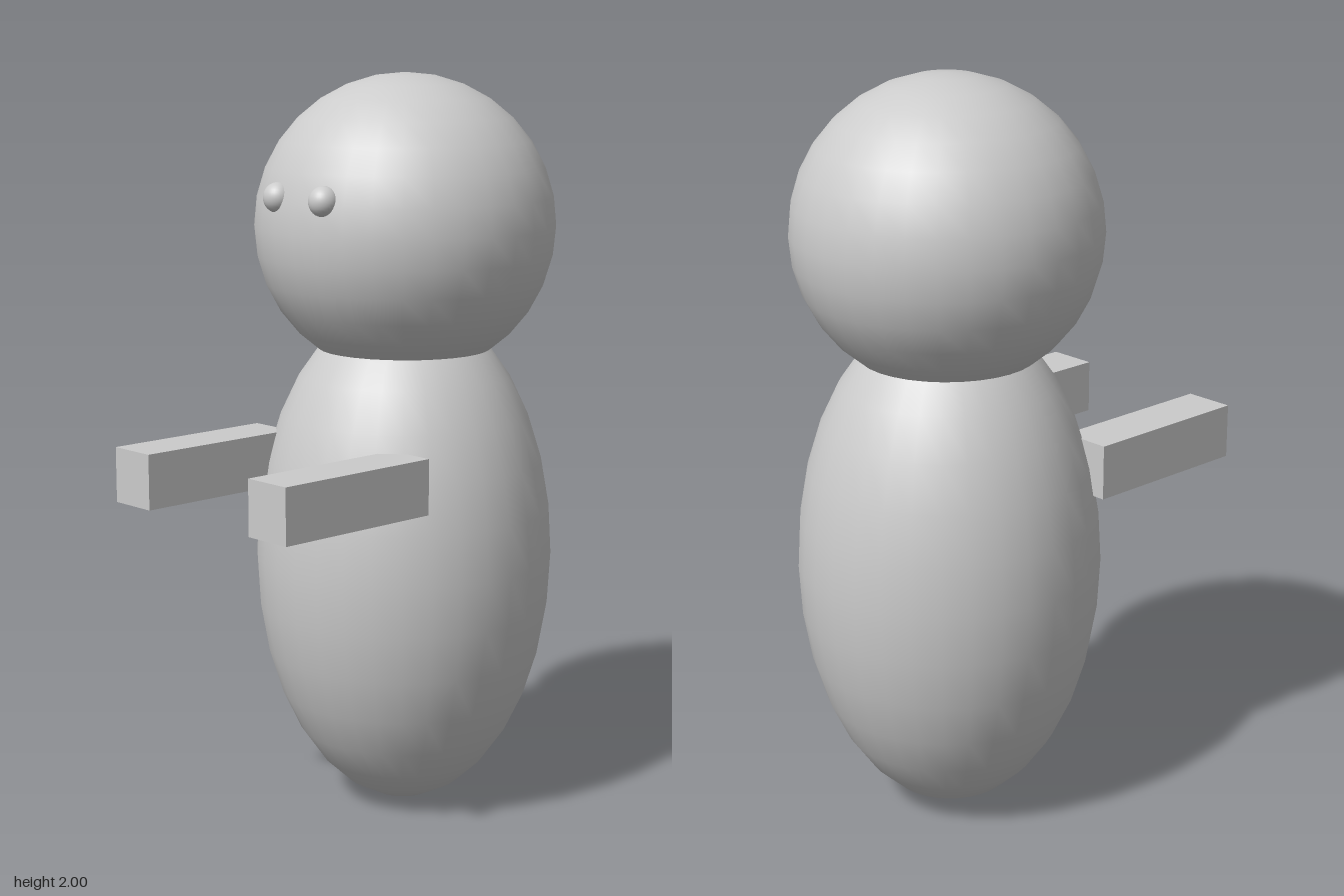
import * as THREE from 'three';

const material = new THREE.MeshStandardMaterial({ color: 0xcccccc });

function addPart(group, name, geometry, x, y, z) {
  const mesh = new THREE.Mesh(geometry, material);
  mesh.name = name;
  mesh.position.set(x, y, z);
  group.add(mesh);
  return mesh;
}

export function createModel() {
  const group = new THREE.Group();
  group.name = 'figure';
  const radius = 0.404;
  const centreZ = -0.161;

  // Egg-shaped body and round head
  const bodyHalf = 0.698;
  const bodyGeometry = new THREE.SphereGeometry(radius, 32, 16).scale(1, bodyHalf / radius, 1);
  addPart(group, 'body', bodyGeometry, 0, bodyHalf, centreZ);
  addPart(group, 'head', new THREE.SphereGeometry(radius, 32, 16), 0, 2 - radius, centreZ);

  // Paired eyes and forward-reaching arms
  const eyeGeometry = new THREE.SphereGeometry(0.04, 32, 16);
  const armGeometry = new THREE.BoxGeometry(0.138, 0.147, 0.486);
  for (const [side, s] of [['left', 1], ['right', -1]]) {
    addPart(group, `${side}Eye`, eyeGeometry, s * 0.087, 1.686, 0.212);
    addPart(group, `${side}Arm`, armGeometry, s * 0.266, 0.968, 0.322);
  }

  return group;
}
